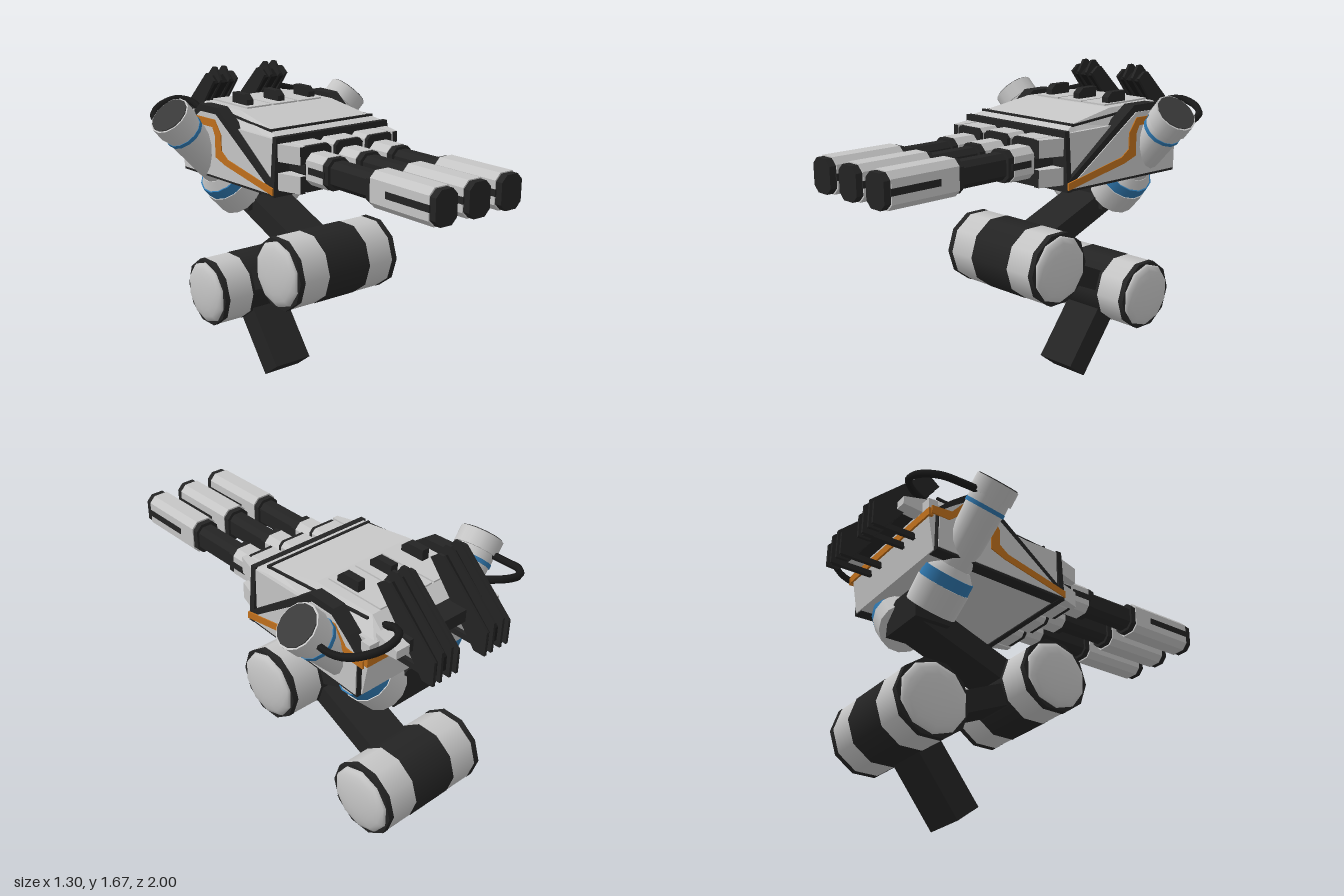
import * as THREE from 'three';

const material = (name, color) => Object.assign(new THREE.MeshStandardMaterial({ color }), { name });
const white = material('white armour', 0xc6c6c6);
const dark = material('dark metal', 0x242424);
const black = material('black cable', 0x191919);
const orange = material('orange trim', 0xc0701c);
const blue = material('blue ring', 0x2f78b0);
const grey = material('end cap grey', 0x3a3a3a);

function add(parent, name, geometry, mat, x = 0, y = 0, z = 0) {
  const mesh = new THREE.Mesh(geometry, mat);
  mesh.name = name;
  mesh.position.set(x, y, z);
  parent.add(mesh);
  return mesh;
}

// Box given by its limits
function block(parent, name, mat, x0, x1, y0, y1, z0, z1) {
  return add(parent, name, new THREE.BoxGeometry(x1 - x0, y1 - y0, z1 - z0), mat,
    (x0 + x1) / 2, (y0 + y1) / 2, (z0 + z1) / 2);
}

const shapeOf = pts => new THREE.Shape(pts.map(p => new THREE.Vector2(p[0], p[1])));

// Front outline (x, y) extruded from z0 to z1
function frontExtrude(pts, z0, z1) {
  return new THREE.ExtrudeGeometry(shapeOf(pts), { depth: z1 - z0, bevelEnabled: false }).translate(0, 0, z0);
}

// Side outline (z, y) extruded from x0 to x1
function sideExtrude(pts, x0, x1) {
  return new THREE.ExtrudeGeometry(shapeOf(pts.map(([z, y]) => [-z, y])), { depth: x1 - x0, bevelEnabled: false })
    .rotateY(Math.PI / 2).translate(x0, 0, 0);
}

// Bar along z with chamfered edges
function bar(parent, name, mat, x, y, w, h, c, z0, z1) {
  const a = w / 2, b = h / 2;
  const pts = [[a, -b + c], [a, b - c], [a - c, b], [-a + c, b], [-a, b - c], [-a, -b + c], [-a + c, -b], [a - c, -b]];
  return add(parent, name, frontExtrude(pts, z0, z1), mat, x, y, 0);
}

// Beam in the side plane between two (z, y) points
function beam(parent, name, [z0, y0], [z1, y1], width, thick) {
  const m = block(parent, name, dark, -width / 2, width / 2, -thick / 2, thick / 2, 0, Math.hypot(z1 - z0, y1 - y0));
  m.position.set(0, (y0 + y1) / 2, (z0 + z1) / 2);
  m.rotation.x = -Math.atan2(y1 - y0, z1 - z0);
}

// Ten-sided drum joint along x
function joint(parent, name, z, y) {
  const g = new THREE.Group();
  g.name = name;
  g.position.set(0, y, z);
  parent.add(g);
  const drum = (part, mat, r, x0, x1) =>
    add(g, part, new THREE.CylinderGeometry(r, r, x1 - x0, 10).rotateZ(Math.PI / 2), mat, (x0 + x1) / 2);
  drum('drumCentre', dark, 0.188, -0.128, 0.128);
  for (const s of [-1, 1]) {
    drum('drumSleeve', white, 0.186, s > 0 ? 0.128 : -0.278, s > 0 ? 0.278 : -0.128);
    drum('drumRim', dark, 0.188, s > 0 ? 0.278 : -0.308, s > 0 ? 0.308 : -0.278);
    const dome = new THREE.SphereGeometry(0.172, 10, 5, 0, Math.PI * 2, 0, Math.PI / 2)
      .scale(1, 0.255, 1).rotateZ(-s * Math.PI / 2);
    add(g, 'drumDome', dome, white, s * 0.307);
  }
}

// Leg: foot, two joints, links and the hub between the arms
function buildLeg(root) {
  const leg = new THREE.Group();
  leg.name = 'leg';
  root.add(leg);
  const low = [-0.684, 0.456], high = [-0.013, 0.75];
  beam(leg, 'foot', [-0.367, 0.043], low, 0.225, 0.137);
  beam(leg, 'lowerLink', low, high, 0.225, 0.11);
  beam(leg, 'upperLink', high, [-0.66, 1.0], 0.225, 0.12);
  joint(leg, 'lowerJoint', ...low);
  joint(leg, 'upperJoint', ...high);
  const hub = [[-0.14, 0.93], [0.14, 0.93], [0.13, 1.04], [0.06, 1.1], [-0.06, 1.1], [-0.13, 1.04]];
  add(leg, 'hub', frontExtrude(hub, -0.7, -0.51), dark);
}

// Slanted arm tube with collars, rings and an end cap, plus its cable
function buildArm(root, s) {
  const arm = new THREE.Group();
  arm.name = s > 0 ? 'leftArm' : 'rightArm';
  root.add(arm);
  const from = new THREE.Vector3(s * 0.12, 1.0, -0.61), to = new THREE.Vector3(s * 0.57, 1.49, -0.54);
  const tube = new THREE.Group();
  tube.name = 'armTube';
  tube.position.copy(from);
  tube.quaternion.setFromUnitVectors(new THREE.Vector3(0, 1, 0), to.clone().sub(from).normalize());
  arm.add(tube);
  const parts = [
    ['baseCollar', white, 0.128, 0.132, 0, 0.13], ['lowerRing', blue, 0.127, 0.127, 0.13, 0.19],
    ['lowerCollar', white, 0.12, 0.088, 0.19, 0.23], ['shaft', white, 0.085, 0.096, 0.23, 0.53],
    ['upperRing', blue, 0.101, 0.101, 0.53, 0.55], ['neck', white, 0.098, 0.098, 0.55, 0.59],
    ['head', white, 0.108, 0.108, 0.59, 0.668], ['headCap', grey, 0.1, 0.1, 0.668, 0.673],
  ];
  for (const [name, mat, r0, r1, t0, t1] of parts)
    add(tube, name, new THREE.CylinderGeometry(r1, r0, t1 - t0, 14), mat, 0, (t0 + t1) / 2, 0);
  const path = [[0.27, 1.46, -0.74], [0.28, 1.49, -0.82], [0.33, 1.5, -0.88], [0.42, 1.48, -0.88],
    [0.51, 1.45, -0.81], [0.54, 1.43, -0.72], [0.54, 1.43, -0.62]];
  const curve = new THREE.CatmullRomCurve3(path.map(([x, y, z]) => new THREE.Vector3(s * x, y, z)));
  add(arm, 'cable', new THREE.TubeGeometry(curve, 20, 0.018, 6), black);
}

// Tapered hood from cross-sections [z, half width below, half width above, top height]
function hoodGeometry() {
  const rings = [[0.0, 0.345, 0.335, 1.435], [-0.08, 0.335, 0.30, 1.46], [-0.36, 0.335, 0.285, 1.505],
    [-0.7, 0.335, 0.28, 1.505], [-0.77, 0.335, 0.29, 1.45]];
  const corners = rings.map(([z, b, t, y]) => [[-b, 1.42, z], [-t, y, z], [t, y, z], [b, 1.42, z]]);
  const pos = [];
  const quad = (a, b, c, d) => pos.push(...a, ...b, ...c, ...a, ...c, ...d);
  for (let i = 0; i < corners.length - 1; i++)
    for (let j = 0; j < 3; j++) quad(corners[i][j], corners[i][j + 1], corners[i + 1][j + 1], corners[i + 1][j]);
  const [f, r] = [corners[0], corners[corners.length - 1]];
  quad(f[0], f[3], f[2], f[1]);
  quad(r[0], r[1], r[2], r[3]);
  const g = new THREE.BufferGeometry();
  g.setAttribute('position', new THREE.Float32BufferAttribute(pos, 3));
  g.computeVertexNormals();
  return g;
}

// Wedge-shaped side pod with white panel and orange trim
function buildPod(body, s) {
  const layer = (name, pts, mat, x0, x1) => {
    const g = sideExtrude(pts, s > 0 ? x0 : -x1, s > 0 ? x1 : -x0);
    const p = g.attributes.position;
    for (let i = 0; i < p.count; i++) p.setX(i, p.getX(i) - s * 0.04 * (p.getZ(i) + 0.74));
    g.computeVertexNormals();
    add(body, name, g, mat);
  };
  layer('podFrame', [[0.02, 1.155], [0.02, 1.2], [-0.43, 1.52], [-0.58, 1.52], [-0.68, 1.44], [-0.74, 1.38], [-0.74, 1.155]],
    dark, 0.33, 0.395);
  layer('podPanel', [[0.01, 1.168], [-0.02, 1.195], [-0.44, 1.485], [-0.57, 1.485], [-0.66, 1.42], [-0.735, 1.36], [-0.735, 1.168]],
    white, 0.39, 0.4);
  layer('podTrim', [[0.02, 1.165], [0.02, 1.2], [-0.34, 1.275], [-0.39, 1.31], [-0.39, 1.39], [-0.44, 1.46], [-0.6, 1.46],
    [-0.67, 1.38], [-0.78, 1.37], [-0.78, 1.33], [-0.68, 1.33], [-0.58, 1.42], [-0.46, 1.42], [-0.44, 1.38], [-0.44, 1.27], [-0.36, 1.242]],
  orange, 0.397, 0.405);
}

// Body shell, hood, pods, sights and rear details
function buildBody(body) {
  block(body, 'shell', white, -0.345, 0.345, 1.16, 1.43, -0.74, 0.0);
  add(body, 'frontPanel', frontExtrude([[-0.367, 1.153], [0.367, 1.153], [0.345, 1.44], [-0.345, 1.44]], -0.01, 0.02), dark);
  add(body, 'hood', hoodGeometry(), white);
  block(body, 'hoodFrontEdge', dark, -0.315, 0.315, 1.45, 1.463, -0.072, -0.058);
  for (const s of [-1, 1]) {
    buildPod(body, s);
    const edge = block(body, 'hoodSideEdge', dark, -0.006, 0.006, -0.005, 0.005, -0.32, 0.32);
    edge.position.set(s * 0.305, 1.475, -0.38);
    edge.rotation.x = 0.07;
  }
  for (const x of [-0.16, 0, 0.16])
    block(body, 'hoodPlate', white, x - 0.074, x + 0.074, 1.495, 1.513, -0.7, -0.38);
  for (const x of [-0.19, 0.005, 0.2])
    add(body, 'sight', sideExtrude([[-0.42, 1.5], [-0.42, 1.54], [-0.45, 1.565], [-0.55, 1.565], [-0.55, 1.5]], x - 0.02, x + 0.02), dark);
  // Back face with orange stripe and upper rack
  add(body, 'backFace', sideExtrude([[-0.73, 1.16], [-0.73, 1.43], [-0.78, 1.43], [-0.775, 1.33], [-0.745, 1.16]], -0.37, 0.37), white);
  block(body, 'backStripe', orange, -0.385, 0.385, 1.33, 1.37, -0.785, -0.76);
  block(body, 'rearRack', dark, -0.24, 0.24, 1.39, 1.45, -0.88, -0.76);
  for (const s of [-1, 1])
    add(body, 'rearCorner', sideExtrude([[-0.76, 1.38], [-0.76, 1.46], [-0.88, 1.43], [-0.88, 1.39]],
      s > 0 ? 0.24 : -0.315, s > 0 ? 0.315 : -0.24), white);
}

// Three barrels with housings
function buildBarrels(body) {
  const y = 1.298;
  for (const x of [-0.195, 0, 0.195]) {
    const g = new THREE.Group();
    g.name = 'barrel';
    g.position.set(x, y, 0);
    body.add(g);
    for (const s of [-1, 1]) {
      bar(g, 'housing', white, 0, s * 0.07, 0.17, 0.085, 0.02, 0.01, 0.12);
      bar(g, 'housingLip', dark, 0, s * 0.07, 0.165, 0.08, 0.02, 0.12, 0.14);
      block(g, 'muzzleSlot', dark, s * 0.067 - 0.004, s * 0.067 + 0.004, -0.016, 0.016, 0.7, 0.97);
      block(g, 'collarSlot', dark, s * 0.067 - 0.004, s * 0.067 + 0.004, -0.016, 0.016, 0.16, 0.28);
    }
    bar(g, 'housingCore', dark, 0, 0, 0.15, 0.08, 0.02, 0, 0.14);
    bar(g, 'collar', white, 0, 0, 0.135, 0.155, 0.03, 0.12, 0.265);
    bar(g, 'collarLip', dark, 0, 0, 0.13, 0.15, 0.03, 0.265, 0.3);
    bar(g, 'neck', dark, 0, 0, 0.1, 0.125, 0.025, 0.3, 0.575);
    bar(g, 'muzzleLip', dark, 0, 0, 0.125, 0.155, 0.03, 0.565, 0.595);
    bar(g, 'muzzle', white, 0, 0, 0.135, 0.17, 0.03, 0.595, 0.965);
    bar(g, 'muzzleCap', dark, 0, 0, 0.125, 0.16, 0.03, 0.965, 1.0);
  }
  // Tapered shoulders either side of the housings
  for (const s of [-1, 1])
    for (const v of [-1, 1]) {
      const g = new THREE.BoxGeometry(0.07, 0.085, 0.13);
      const p = g.attributes.position;
      for (let i = 0; i < p.count; i++) if (p.getZ(i) > 0 && p.getX(i) * s > 0) p.setX(i, s * -0.005);
      g.computeVertexNormals();
      add(body, 'shoulder', g, [white, white, white, white, dark, dark], s * 0.305, y + v * 0.07, 0.08);
    }
}

// Slanted radiators behind the body
function buildRadiators(root) {
  for (const x of [-0.16, 0.16]) {
    const g = new THREE.Group();
    g.name = 'radiator';
    g.position.x = x;
    root.add(g);
    add(g, 'radiatorCore', sideExtrude([[-0.67, 1.595], [-0.715, 1.63], [-0.98, 1.37], [-0.98, 1.3], [-0.95, 1.3]], -0.06, 0.06), black);
    for (const fx of [-0.07, -0.028, 0.028, 0.07]) {
      const top = Math.abs(fx) < 0.05 ? 0.03 : 0;
      add(g, 'fin', sideExtrude([[-0.657, 1.61], [-0.7, 1.643 + top], [-0.727, 1.643 + top], [-1.0, 1.39 + top], [-1.0, 1.27], [-0.94, 1.27]],
        fx - 0.007, fx + 0.007), dark);
    }
    for (const s of [-1, 1])
      block(g, 'bracket', dark, s * 0.05 - 0.01, s * 0.05 + 0.01, 1.28, 1.31, -0.98, -0.73);
  }
}

export function createModel() {
  const root = new THREE.Group();
  root.name = 'turret';
  buildLeg(root);
  for (const s of [-1, 1]) buildArm(root, s);
  const body = new THREE.Group();
  body.name = 'body';
  body.position.x = 0.018;
  root.add(body);
  buildBody(body);
  buildBarrels(body);
  buildRadiators(root);
  return root;
}
